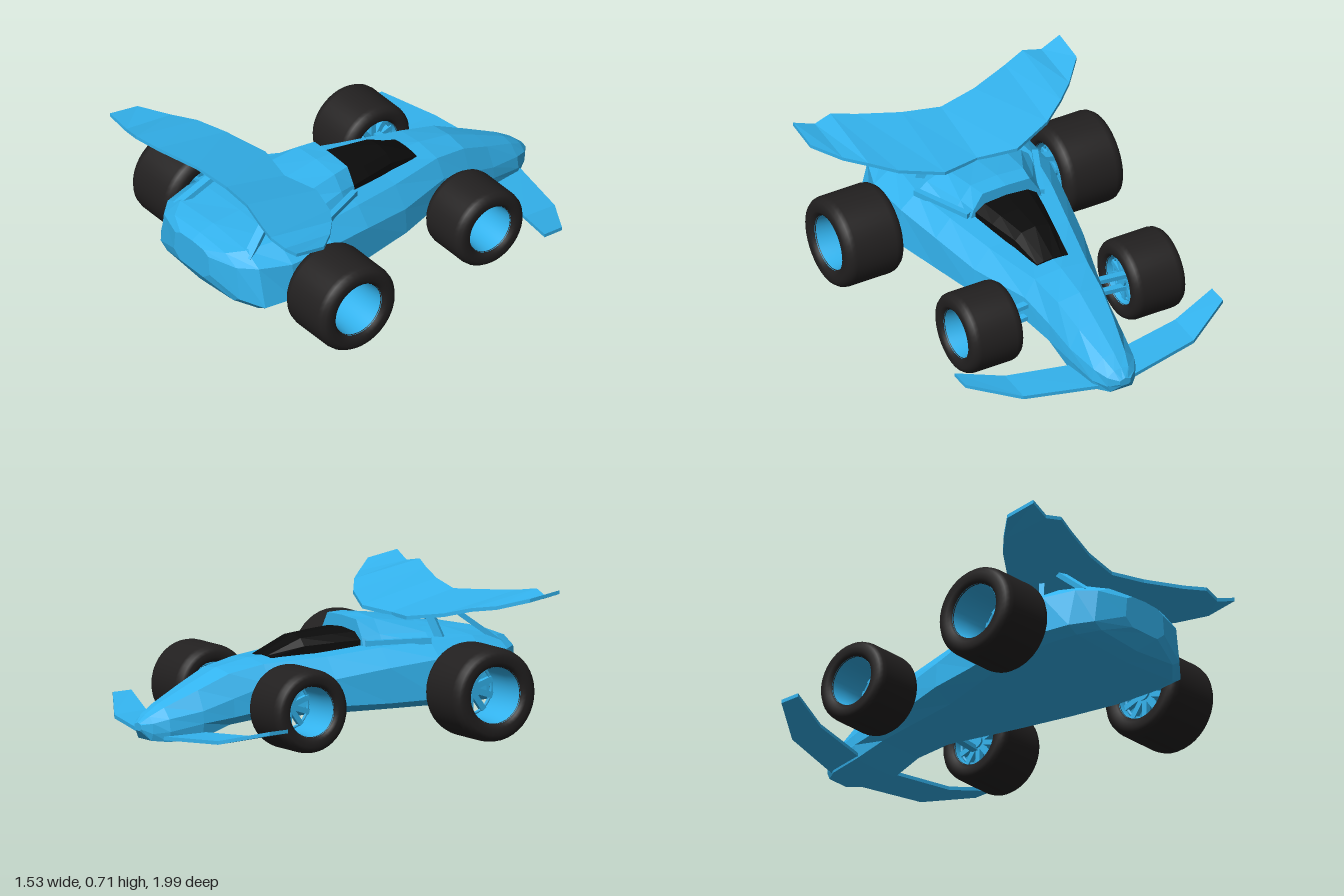
import * as THREE from 'three';

const paint = new THREE.MeshStandardMaterial({ color: 0x33b3ee, flatShading: true, side: THREE.DoubleSide });
const rimPaint = new THREE.MeshStandardMaterial({ color: 0x33b3ee, side: THREE.DoubleSide });
const rubber = new THREE.MeshStandardMaterial({ color: 0x222020, side: THREE.DoubleSide });
const black = new THREE.MeshStandardMaterial({ color: 0x0b0b0b, flatShading: true, side: THREE.DoubleSide });

function add(parent, name, geometry, material) {
  const mesh = new THREE.Mesh(geometry, material);
  mesh.name = name;
  parent.add(mesh);
  return mesh;
}

// Skin closed rings of [x, y, z] points and cap both ends
function loft(rings) {
  const pos = [], n = rings[0].length;
  const tri = (a, b, c) => pos.push(...a, ...b, ...c);
  for (let i = 0; i < rings.length - 1; i++) {
    for (let j = 0; j < n; j++) {
      const k = (j + 1) % n, p = rings[i], q = rings[i + 1];
      tri(p[j], p[k], q[k]);
      tri(p[j], q[k], q[j]);
    }
  }
  const first = rings[0], last = rings[rings.length - 1];
  for (let j = 1; j < n - 1; j++) {
    tri(first[0], first[j + 1], first[j]);
    tri(last[0], last[j], last[j + 1]);
  }
  const g = new THREE.BufferGeometry();
  g.setAttribute('position', new THREE.Float32BufferAttribute(pos, 3));
  g.computeVertexNormals();
  return g;
}

// Section at z: bottom centre height, right-hand [x, y] points going up, top centre height
function section([z, bottom, side, top]) {
  const left = side.map(([x, y]) => [-x, y, z]).reverse();
  return [[0, bottom, z], ...side.map(([x, y]) => [x, y, z]), [0, top, z], ...left];
}

// Plate across the car from half-span stations [x, zLead, yLead, zTrail, yTrail]
function wing(stations, thick) {
  const mirrored = stations.slice(1).reverse().map(([x, ...r]) => [-x, ...r]);
  return loft([...mirrored, ...stations].map(([x, zl, yl, zt, yt]) =>
    [[x, yl - thick, zl], [x, yl, zl], [x, yt, zt], [x, yt - thick, zt]]));
}

// Straight rectangular bar between two points
function bar(parent, name, a, b, w, h) {
  const p = new THREE.Vector3(...a), q = new THREE.Vector3(...b);
  const m = add(parent, name, new THREE.BoxGeometry(w, h, p.distanceTo(q)), paint);
  m.position.copy(p).add(q).multiplyScalar(0.5);
  m.lookAt(q);
}

// Wheel along local y, outer face toward +y
function wheel(R, h) {
  const g = new THREE.Group();
  const half = [[0.6, 0.84], [0.64, 0.94], [0.71, 1], [0.84, 1], [0.92, 0.95], [0.98, 0.83], [1, 0.68]];
  const profile = [...half.map(([r, y]) => [r, -y]), ...half.slice().reverse()]
    .map(([r, y]) => new THREE.Vector2(r * R, y * h));
  add(g, 'tyre', new THREE.LatheGeometry(profile, 40), rubber);
  const barrel = [[0.61, 0.88], [0.57, 0.3], [0.57, -0.6], [0.61, -0.88]]
    .map(([r, y]) => new THREE.Vector2(r * R, y * h));
  add(g, 'rimBarrel', new THREE.LatheGeometry(barrel, 40), rimPaint);
  const y = -0.62 * h;
  add(g, 'hub', new THREE.CylinderGeometry(0.13 * R, 0.17 * R, 0.05, 16), paint).position.y = y;
  const ring = add(g, 'rimRing', new THREE.TorusGeometry(0.54 * R, 0.035 * R, 6, 40), rimPaint);
  ring.rotation.x = Math.PI / 2;
  ring.position.y = y;
  for (let i = 0; i < 10; i++) {
    const a = i * Math.PI / 5;
    const s = add(g, 'spoke', new THREE.BoxGeometry(0.46 * R, 0.025, 0.13 * R), paint);
    s.position.set(Math.cos(a) * 0.34 * R, y, Math.sin(a) * 0.34 * R);
    s.rotation.y = -a;
  }
  return g;
}

export function createModel() {
  const car = new THREE.Group();
  car.name = 'racingCar';

  // Faceted hull from the nose (-z) to the tail (+z)
  const hull = [
    [-1.0, 0.09, [[0.02, 0.09], [0.03, 0.1], [0.03, 0.12], [0.015, 0.125]], 0.13],
    [-0.96, 0.045, [[0.06, 0.045], [0.075, 0.08], [0.075, 0.13], [0.04, 0.16]], 0.165],
    [-0.89, 0.04, [[0.11, 0.04], [0.12, 0.09], [0.11, 0.15], [0.06, 0.2]], 0.21],
    [-0.72, 0.045, [[0.14, 0.05], [0.15, 0.12], [0.145, 0.18], [0.095, 0.275]], 0.29],
    [-0.56, 0.1, [[0.13, 0.1], [0.17, 0.14], [0.165, 0.23], [0.12, 0.345]], 0.362],
    [-0.38, 0.115, [[0.14, 0.12], [0.205, 0.17], [0.2, 0.29], [0.145, 0.38]], 0.395],
    [-0.07, 0.11, [[0.2, 0.12], [0.31, 0.17], [0.3, 0.3], [0.22, 0.4]], 0.41],
    [0.2, 0.115, [[0.28, 0.13], [0.365, 0.17], [0.36, 0.34], [0.28, 0.43]], 0.445],
    [0.45, 0.12, [[0.35, 0.14], [0.425, 0.18], [0.41, 0.37], [0.32, 0.445]], 0.46],
    [0.7, 0.12, [[0.37, 0.145], [0.43, 0.18], [0.415, 0.37], [0.3, 0.45]], 0.46],
    [0.86, 0.13, [[0.35, 0.15], [0.41, 0.18], [0.36, 0.38], [0.26, 0.435]], 0.45],
    [0.94, 0.16, [[0.26, 0.18], [0.31, 0.21], [0.285, 0.38], [0.2, 0.42]], 0.43],
    [0.99, 0.24, [[0.09, 0.24], [0.14, 0.28], [0.13, 0.38], [0.09, 0.4]], 0.405],
  ];
  add(car, 'hull', loft(hull.map(section)), paint);

  // Dark cockpit canopy
  const canopy = [
    [-0.3, 0.36, [[0.09, 0.37], [0.085, 0.395], [0.05, 0.402]], 0.405],
    [-0.13, 0.36, [[0.115, 0.37], [0.11, 0.44], [0.075, 0.475]], 0.487],
    [0.03, 0.36, [[0.15, 0.37], [0.145, 0.45], [0.1, 0.485]], 0.495],
    [0.16, 0.36, [[0.177, 0.37], [0.17, 0.455], [0.12, 0.49]], 0.5],
  ];
  add(car, 'canopy', loft(canopy.map(section)), black);

  // Engine cover with a dark vent facing the tail
  const cover = [
    [0.15, 0.4, [[0.2, 0.41], [0.18, 0.47], [0.13, 0.55]], 0.555],
    [0.24, 0.4, [[0.24, 0.42], [0.2, 0.48], [0.145, 0.55]], 0.56],
    [0.46, 0.42, [[0.32, 0.43], [0.26, 0.48], [0.16, 0.52]], 0.527],
  ];
  add(car, 'engineCover', loft(cover.map(section)), paint);
  add(car, 'vent', new THREE.BoxGeometry(0.3, 0.058, 0.01), black).position.set(0, 0.485, 0.46);
  add(car, 'ventDivider', new THREE.BoxGeometry(0.012, 0.058, 0.012), paint).position.set(0, 0.485, 0.463);

  // Swept wings
  add(car, 'rearWing', wing([
    [0, 0.43, 0.545, 0.78, 0.63], [0.2, 0.39, 0.555, 0.81, 0.65], [0.41, 0.47, 0.59, 0.88, 0.67],
    [0.53, 0.55, 0.625, 0.92, 0.69], [0.625, 0.635, 0.64, 0.905, 0.672], [0.735, 0.755, 0.68, 0.92, 0.708],
  ], 0.018), paint);
  add(car, 'frontWing', wing([
    [0, -0.93, 0.068, -0.71, 0.075], [0.1, -0.915, 0.068, -0.715, 0.075],
    [0.47, -0.84, 0.09, -0.66, 0.1], [0.71, -0.7, 0.155, -0.595, 0.158],
  ], 0.018), paint);

  for (const s of [1, -1]) {
    // Rear wing struts and rear deck rails
    bar(car, 'rearStrut', [s * 0.28, 0.4, 0.87], [s * 0.19, 0.595, 0.62], 0.045, 0.025);
    bar(car, 'innerStrut', [s * 0.25, 0.44, 0.55], [s * 0.2, 0.575, 0.51], 0.025, 0.04);
    bar(car, 'deckRail', [s * 0.2, 0.44, 0.16], [s * 0.33, 0.45, 0.45], 0.03, 0.03);

    // Suspension arms
    for (const y of [0.18, 0.25]) {
      bar(car, 'frontArm', [s * 0.15, y + 0.01, -0.39], [s * 0.36, y - 0.01, -0.39], 0.035, 0.022);
    }
    for (const y of [0.25, 0.32]) {
      bar(car, 'rearArm', [s * 0.36, y + 0.015, 0.56], [s * 0.51, y - 0.02, 0.56], 0.05, 0.025);
    }

    // Wheels
    const front = wheel(0.203, 0.143), rear = wheel(0.228, 0.159);
    front.name = 'frontWheel';
    rear.name = 'rearWheel';
    front.position.set(s * 0.447, 0.205, -0.373);
    rear.position.set(s * 0.606, 0.23, 0.555);
    for (const w of [front, rear]) {
      w.rotation.z = -s * Math.PI / 2;
      car.add(w);
    }
  }
  return car;
}
